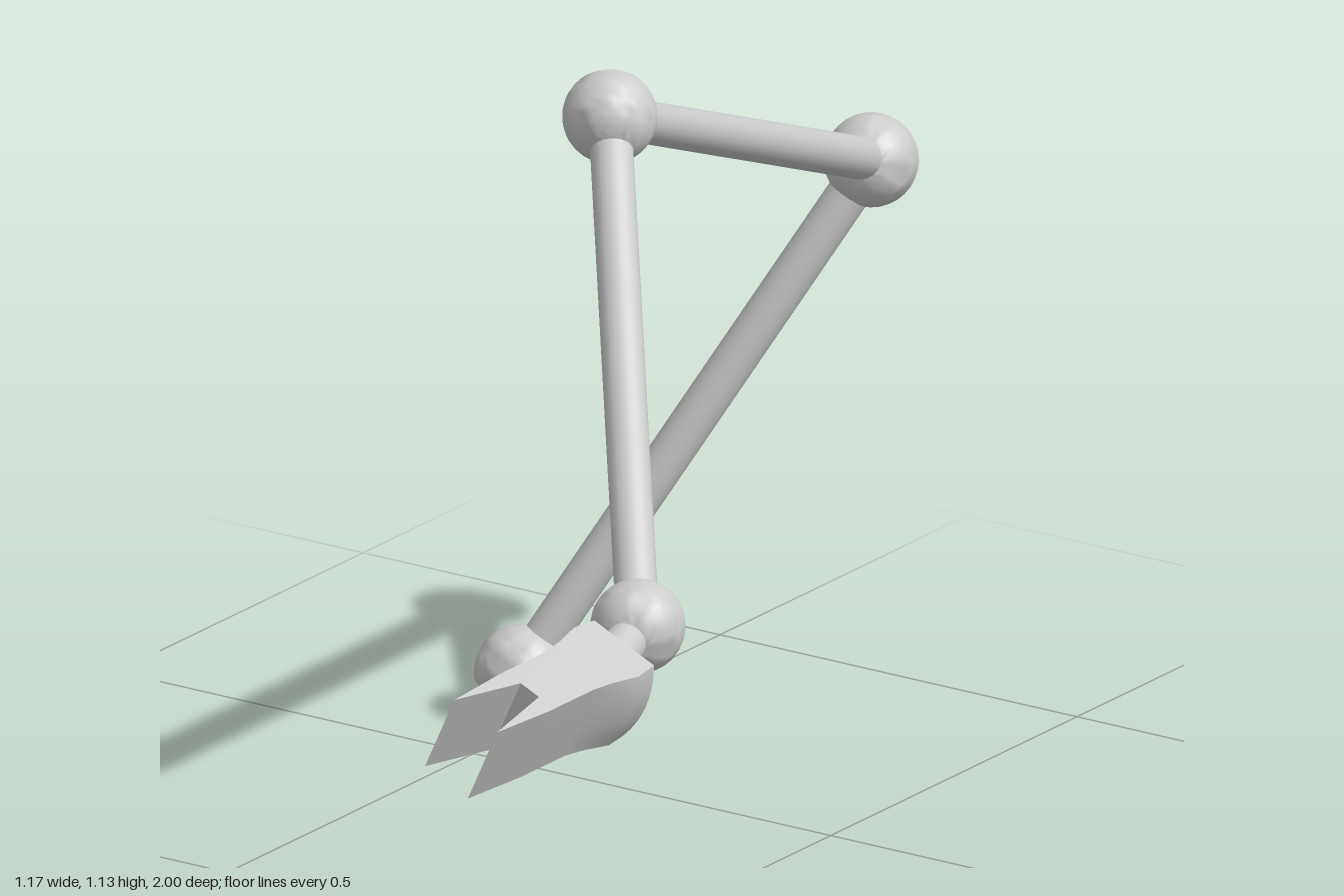
import * as THREE from 'three';
import { toCreasedNormals } from 'three/addons/utils/BufferGeometryUtils.js';

const material = new THREE.MeshStandardMaterial({ color: 0xcccccc });
const UP = new THREE.Vector3(0, 1, 0);

// One arm segment: a ball with a flat cut behind it and a rod leading to the next joint
function segment(name, from, to) {
  const group = new THREE.Group();
  group.name = name;
  const dir = to.clone().sub(from);
  const length = dir.length();

  const radius = 0.055, cut = 0.038;
  const start = -Math.asin(cut / radius);
  const profile = [new THREE.Vector2(0, -cut), new THREE.Vector2(radius * Math.cos(start), -cut)];
  for (let i = 0; i <= 16; i++) {
    const a = start + (Math.PI / 2 - start) * i / 16;
    profile.push(new THREE.Vector2(Math.max(0, radius * Math.cos(a)), radius * Math.sin(a)));
  }
  const ball = new THREE.Mesh(toCreasedNormals(new THREE.LatheGeometry(profile, 32), 0.6), material);
  ball.name = name + 'Joint';

  const rod = new THREE.Mesh(new THREE.CylinderGeometry(0.025, 0.025, length, 24), material);
  rod.name = name + 'Rod';
  rod.position.y = length / 2;

  group.add(ball, rod);
  group.position.copy(from);
  group.quaternion.setFromUnitVectors(UP, dir.normalize());
  return group;
}

// Gripper: a waisted block ending in two pointed fingers, with bulging sides at the wrist
function gripper() {
  const height = 0.098, length = 0.3;
  const side = [[0.046, 0], [0.05, 0.035], [0.042, 0.075], [0.038, 0.11], [0.038, 0.2], [0.033, length], [0.014, 0.19]];
  const points = [
    ...side.map(([x, z]) => new THREE.Vector2(x, z)),
    ...side.slice().reverse().map(([x, z]) => new THREE.Vector2(-x, z)),
  ];
  const geometry = new THREE.ExtrudeGeometry(new THREE.Shape(points), { depth: height, steps: 8, bevelEnabled: false });
  geometry.rotateX(Math.PI / 2).translate(0, height / 2, 0);
  const p = geometry.attributes.position;
  for (let i = 0; i < p.count; i++) {
    const fade = Math.max(0, 1 - p.getZ(i) / 0.11);
    const v = p.getY(i) / (height / 2);
    p.setX(i, p.getX(i) * (1 + 0.25 * fade * (1 - v * v)));
    p.setY(i, p.getY(i) * (1 + 0.06 * fade));
  }
  const mesh = new THREE.Mesh(toCreasedNormals(geometry, 0.5), material);
  mesh.name = 'gripper';
  return mesh;
}

export function createModel() {
  const model = new THREE.Group();
  model.name = 'roboticArm';
  const joints = [
    [-0.53, 0.057, -0.64], [-0.25, 0.65, -0.945], [0.108, 1.08, 0.105],
    [0.468, 0.664, 0.57], [0.515, 0.65, 0.72],
  ].map((j) => new THREE.Vector3(...j));
  ['lowerArm', 'upperArm', 'foreArm', 'wrist'].forEach((name, i) => {
    model.add(segment(name, joints[i], joints[i + 1]));
  });

  const hand = gripper();
  hand.position.set(0.517, 0.648, 0.7);
  hand.rotation.z = -0.43;
  model.add(hand);
  return model;
}
